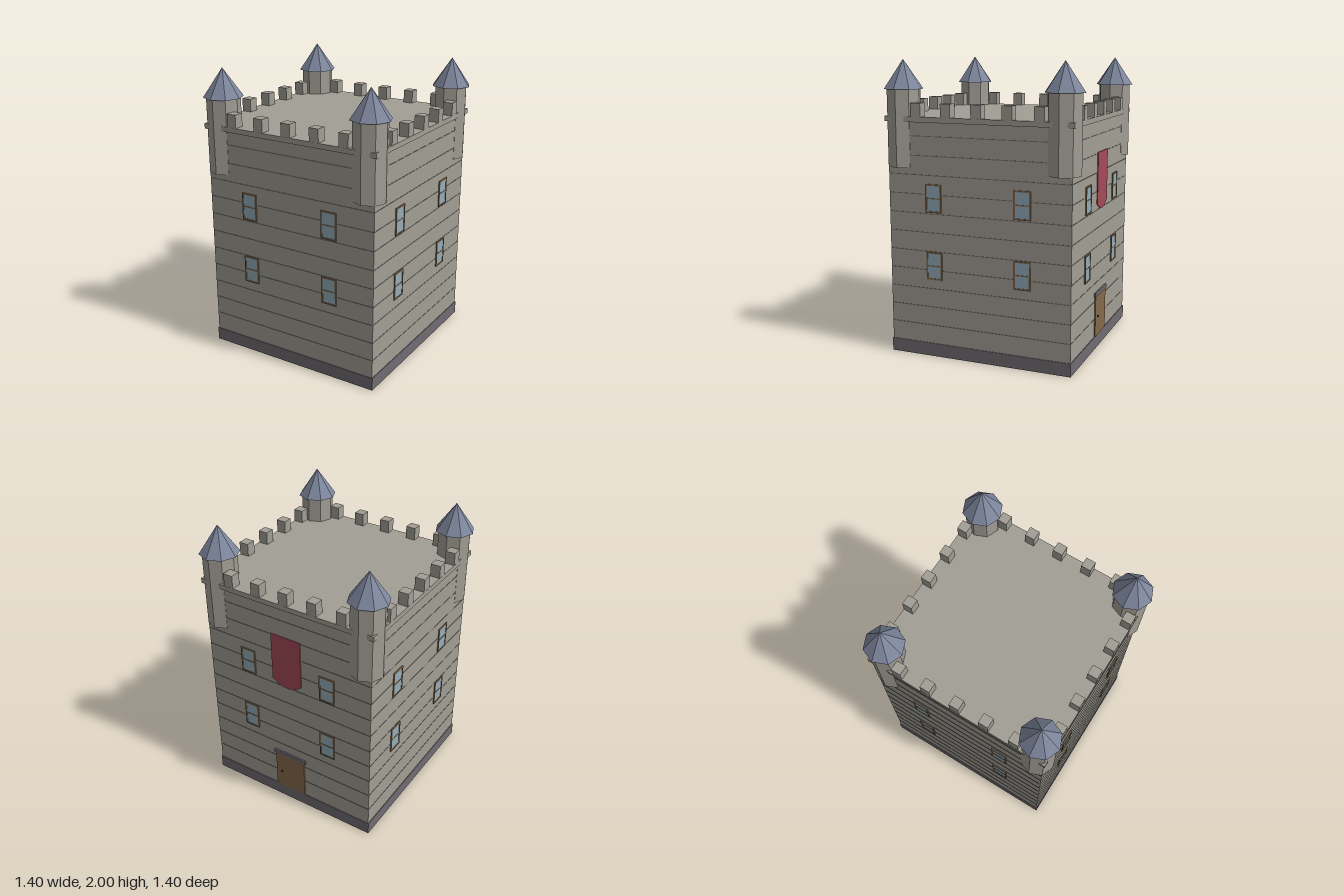
import * as THREE from 'three';

export function createModel() {
  const mat = (name, color) => {
    const m = new THREE.MeshStandardMaterial({ color });
    m.name = name;
    return m;
  };
  const stone = mat('stone', 0xa29e95);
  const mortar = mat('mortar', 0x77736b);
  const plinthGrey = mat('plinth grey', 0x706c72);
  const slate = mat('slate', 0x7d869c);
  const wood = mat('wood', 0x856a4a);
  const glass = mat('glass', 0x94acb9);
  const red = mat('banner red', 0xa34a58);
  const iron = mat('iron', 0x2e2c2c);
  slate.flatShading = stone.flatShading = true;

  const HALF = 0.645; // half width of the keep

  const add = (parent, name, geometry, material, x = 0, y = 0, z = 0) => {
    const mesh = new THREE.Mesh(geometry, material);
    mesh.name = name;
    mesh.position.set(x, y, z);
    parent.add(mesh);
    return mesh;
  };
  const box = (parent, name, material, w, h, d, x, y, z) =>
    add(parent, name, new THREE.BoxGeometry(w, h, d), material, x, y, z);

  const model = new THREE.Group();
  model.name = 'castleKeep';

  // Main masses
  box(model, 'plinth', plinthGrey, 1.3, 0.09, 1.3, 0, 0.045, 0);
  box(model, 'walls', stone, HALF * 2, 1.51, HALF * 2, 0, 0.845, 0);
  box(model, 'roofSlab', stone, 1.32, 0.035, 1.32, 0, 1.6125, 0);

  // Framed window with one crossbar
  const addWindow = (parent, x, y) => {
    const w = 0.115, h = 0.19, t = 0.01;
    const win = new THREE.Group();
    win.name = 'window';
    win.position.set(x, y, HALF);
    box(win, 'pane', glass, w - t, h - t, 0.006, 0, 0, 0.002);
    for (const s of [-1, 1]) {
      box(win, 'frameSide', wood, t, h, 0.014, s * (w - t) / 2, 0, 0.001);
      box(win, 'frameRail', wood, w, t, 0.014, 0, s * (h - t) / 2, 0.001);
    }
    box(win, 'crossbar', wood, w, 0.008, 0.012, 0, 0, 0.001);
    parent.add(win);
  };

  // Four sides, each built facing +z and turned into place
  const sides = ['front', 'left', 'back', 'right'].map((name, i) => {
    const side = new THREE.Group();
    side.name = name + 'Side';
    side.rotation.y = i * Math.PI / 2;
    model.add(side);
    for (let k = 0; k < 11; k++)
      box(side, 'courseLine', mortar, 1.28, 0.005, 0.004, 0, 0.219 + k * 0.1285, HALF);
    for (const x of [-0.315, 0.315])
      for (const y of [0.635, 1.095]) addWindow(side, x, y);
    for (let k = -2; k <= 2; k++)
      box(side, 'merlon', stone, 0.07, 0.09, 0.07, k * 0.215, 1.675, 0.624);
    return side;
  });

  // Door and hanging banner on the back
  const back = sides[2];
  box(back, 'door', wood, 0.24, 0.29, 0.016, 0, 0.235, HALF);
  box(back, 'lintel', plinthGrey, 0.265, 0.03, 0.022, 0, 0.395, HALF);
  add(back, 'doorKnob', new THREE.SphereGeometry(0.007, 10, 8), iron, -0.07, 0.23, HALF + 0.013);

  const cloth = new THREE.Shape();
  cloth.moveTo(-0.115, 1.385);
  cloth.lineTo(-0.115, 1.035);
  cloth.quadraticCurveTo(0, 0.94, 0.115, 1.035);
  cloth.lineTo(0.115, 1.385);
  cloth.closePath();
  add(back, 'banner', new THREE.ExtrudeGeometry(cloth, { depth: 0.006, bevelEnabled: false, curveSegments: 8 }),
    red, 0, 0, HALF);

  // Corner turrets with pointed roofs
  for (const sx of [-1, 1]) for (const sz of [-1, 1]) {
    const turret = new THREE.Group();
    turret.name = 'turret';
    turret.position.set(sx * 0.565, 0, sz * 0.565);
    add(turret, 'turretShaft', new THREE.CylinderGeometry(0.115, 0.115, 0.515, 8), stone, 0, 1.5475, 0);
    add(turret, 'turretRoof', new THREE.ConeGeometry(0.135, 0.195, 8), slate, 0, 1.9025, 0);
    model.add(turret);
  }
  return model;
}
